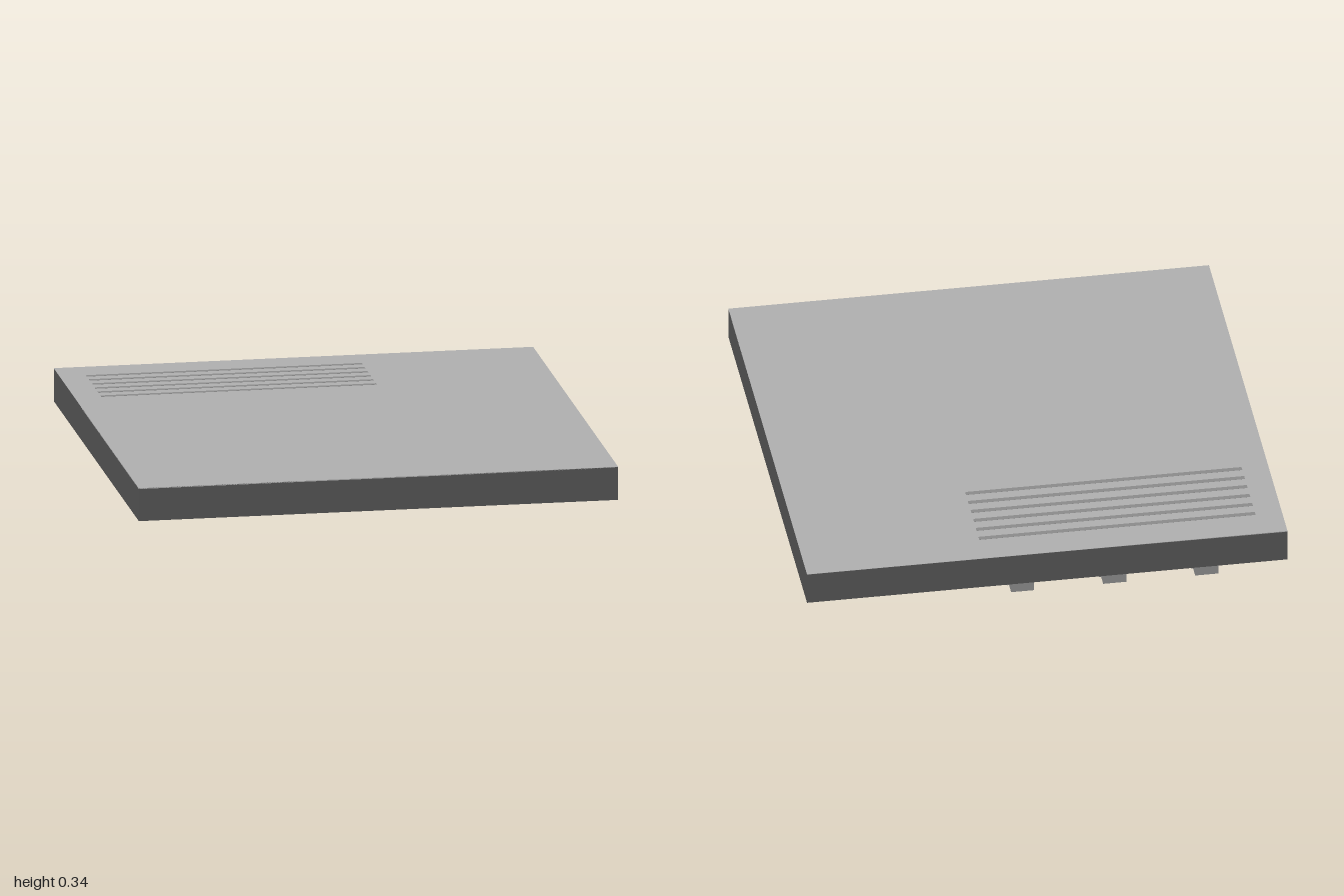
import * as THREE from 'three';

const mat = (color) => new THREE.MeshStandardMaterial({ color });

export function createModel() {
  const model = new THREE.Group();
  const dark = mat(0x555555), roof = mat(0xb0b0b0), metal = mat(0x8c8c8c), light = mat(0xcccccc), blue = mat(0x6f8896);

  function add(name, geometry, material, parent = model) {
    const mesh = new THREE.Mesh(geometry, material);
    mesh.name = name;
    parent.add(mesh);
    return mesh;
  }
  // Box given by its lower and upper limits on each axis
  function box(name, [x0, x1], [y0, y1], [z0, z1], material, parent) {
    const mesh = add(name, new THREE.BoxGeometry(x1 - x0, y1 - y0, z1 - z0), material, parent);
    mesh.position.set((x0 + x1) / 2, (y0 + y1) / 2, (z0 + z1) / 2);
    return mesh;
  }
  // Rectangular tube standing upright, open at top and bottom
  function ring(name, w, d, wall, y0, y1, material, parent) {
    const rect = (P, a, b) => {
      const p = new P();
      p.moveTo(-a, -b);
      p.lineTo(a, -b);
      p.lineTo(a, b);
      p.lineTo(-a, b);
      p.closePath();
      return p;
    };
    const shape = rect(THREE.Shape, w / 2, d / 2);
    shape.holes.push(rect(THREE.Path, w / 2 - wall, d / 2 - wall));
    const g = new THREE.ExtrudeGeometry(shape, { depth: y1 - y0, bevelEnabled: false });
    g.rotateX(-Math.PI / 2);
    g.translate(0, y0, 0);
    return add(name, g, material, parent);
  }

  // Outer frame, roof skin and blue ceiling panel
  ring('outerFrame', 2, 2, 0.108, 0.2, 0.339, dark);
  box('roof', [-1, 1], [0.336, 0.34], [-1, 1], roof);
  box('ceilingPanel', [-0.892, 0.892], [0.33, 0.336], [-0.892, 0.892], blue);

  // Corner hatch with its triangular stay on the side wall
  box('cornerHatch', [-0.892, -0.53], [0.327, 0.331], [0.53, 0.892], dark);
  const stay = new THREE.Shape([
    new THREE.Vector2(-0.89, 0.2), new THREE.Vector2(-0.89, 0.33), new THREE.Vector2(-0.56, 0.33),
  ]);
  const stayMesh = add('hatchStay', new THREE.ShapeGeometry(stay), light);
  stayMesh.material = light.clone();
  stayMesh.material.side = THREE.DoubleSide;
  stayMesh.rotation.y = Math.PI / 2;
  stayMesh.position.x = -0.888;

  // Two diagonal ceiling lamps with chamfered corners
  const L = 0.21, W = 0.068, c = 0.045;
  const plan = new THREE.Shape([
    [-L + c, -W], [L - c, -W], [L, -W + c], [L, W - c],
    [L - c, W], [-L + c, W], [-L, W - c], [-L, -W + c],
  ].map(([x, y]) => new THREE.Vector2(x, y)));
  for (const x of [-0.32, 0.32]) {
    const g = new THREE.ExtrudeGeometry(plan, { depth: 0.141, bevelEnabled: false });
    g.rotateX(-Math.PI / 2);
    const lamp = add('ceilingLamp', g, light);
    lamp.rotation.y = -Math.PI / 4;
    lamp.position.set(x, 0.19, 0);
  }

  // Control box with three dark vents
  const control = new THREE.Group();
  control.name = 'controlBox';
  model.add(control);
  box('controlHousing', [0.26, 0.72], [0.26, 0.332], [0.66, 0.84], metal, control);
  for (let i = -1; i <= 1; i++) {
    const x = 0.49 + i * 0.11;
    box('controlVent', [x - 0.035, x + 0.035], [0.257, 0.262], [0.71, 0.79], dark, control);
  }

  // Ventilation slats, flush with the roof
  for (let i = 0; i < 6; i++) {
    const z = -0.85 + i * 0.0675;
    box('ventSlat', [-0.89, 0.26], [0.3, 0.3405], [z - 0.011, z + 0.011], metal);
  }

  // Three vent housings, each with a hanging bracket and a square head
  const side = [[-0.79, 0.02], [-0.79, 0.32], [-0.67, 0.32], [-0.67, 0.2], [-0.71, 0.17], [-0.715, 0.02]];
  const bracketShape = new THREE.Shape(side.map(([z, y]) => new THREE.Vector2(-z, y)));
  for (const x of [0.068, -0.315, -0.698]) {
    const unit = new THREE.Group();
    unit.name = 'spotUnit';
    unit.position.x = x;
    model.add(unit);
    ring('ventHousing', 0.383, 0.36, 0.035, 0.235, 0.332, metal, unit).position.z = -0.68;
    box('housingBar', [-0.16, 0.16], [0.25, 0.28], [-0.75, -0.71], metal, unit);
    const g = new THREE.ExtrudeGeometry(bracketShape, { depth: 0.096, bevelEnabled: false });
    g.translate(0, 0, -0.048);
    g.rotateY(Math.PI / 2);
    add('hangingBracket', g, metal, unit);
    box('spotPivot', [-0.035, 0.035], [0.03, 0.08], [-0.72, -0.7], dark, unit);
    box('spotHead', [-0.051, 0.051], [0, 0.103], [-0.707, -0.613], metal, unit);
  }
  return model;
}
